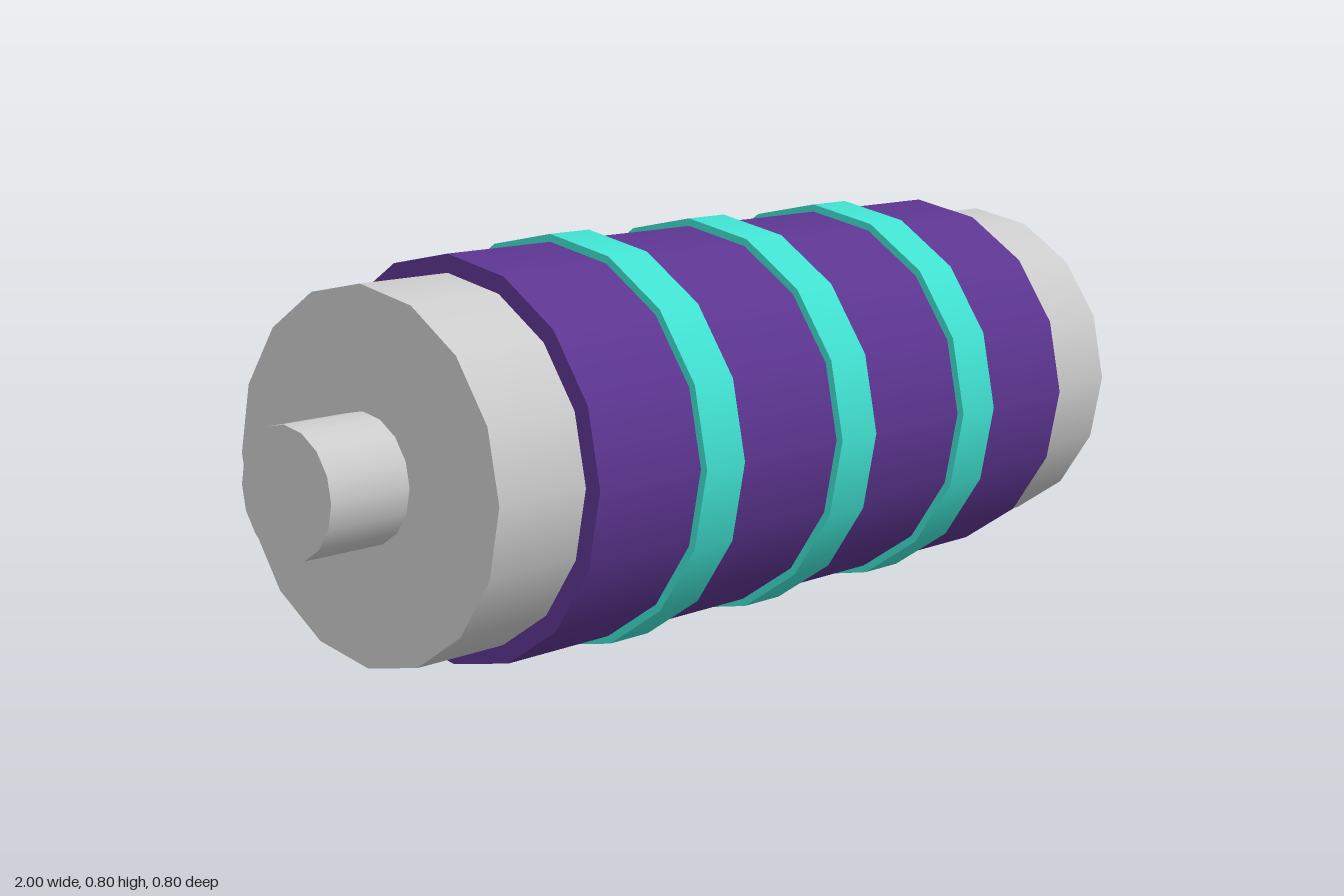
import * as THREE from 'three';

const SIDES = 16;

export function createModel() {
  const model = new THREE.Group();
  const grey = new THREE.MeshStandardMaterial({ color: 0xcccccc });
  const purple = new THREE.MeshStandardMaterial({ color: 0x5c3590 });
  const turquoise = new THREE.MeshStandardMaterial({ color: 0x40e0d0 });

  // Capped cylinder lying along x, from x0 to x1
  function drum(name, x0, x1, radius, material) {
    const geometry = new THREE.CylinderGeometry(radius, radius, x1 - x0, SIDES);
    geometry.rotateZ(-Math.PI / 2);
    const mesh = new THREE.Mesh(geometry, material);
    mesh.name = name;
    mesh.position.set((x0 + x1) / 2, 0.4, 0);
    model.add(mesh);
  }

  // Core and the thin stub at its right end
  drum('core', -0.823, 1, 0.35, grey);
  drum('stub', -1, -0.8, 0.122, grey);

  // Coloured sleeve with three raised bands
  drum('sleeve', -0.615, 0.785, 0.385, purple);
  [-0.302, 0.086, 0.474].forEach((x, i) =>
    drum(`band${i + 1}`, x - 0.052, x + 0.052, 0.4, turquoise));

  return model;
}
